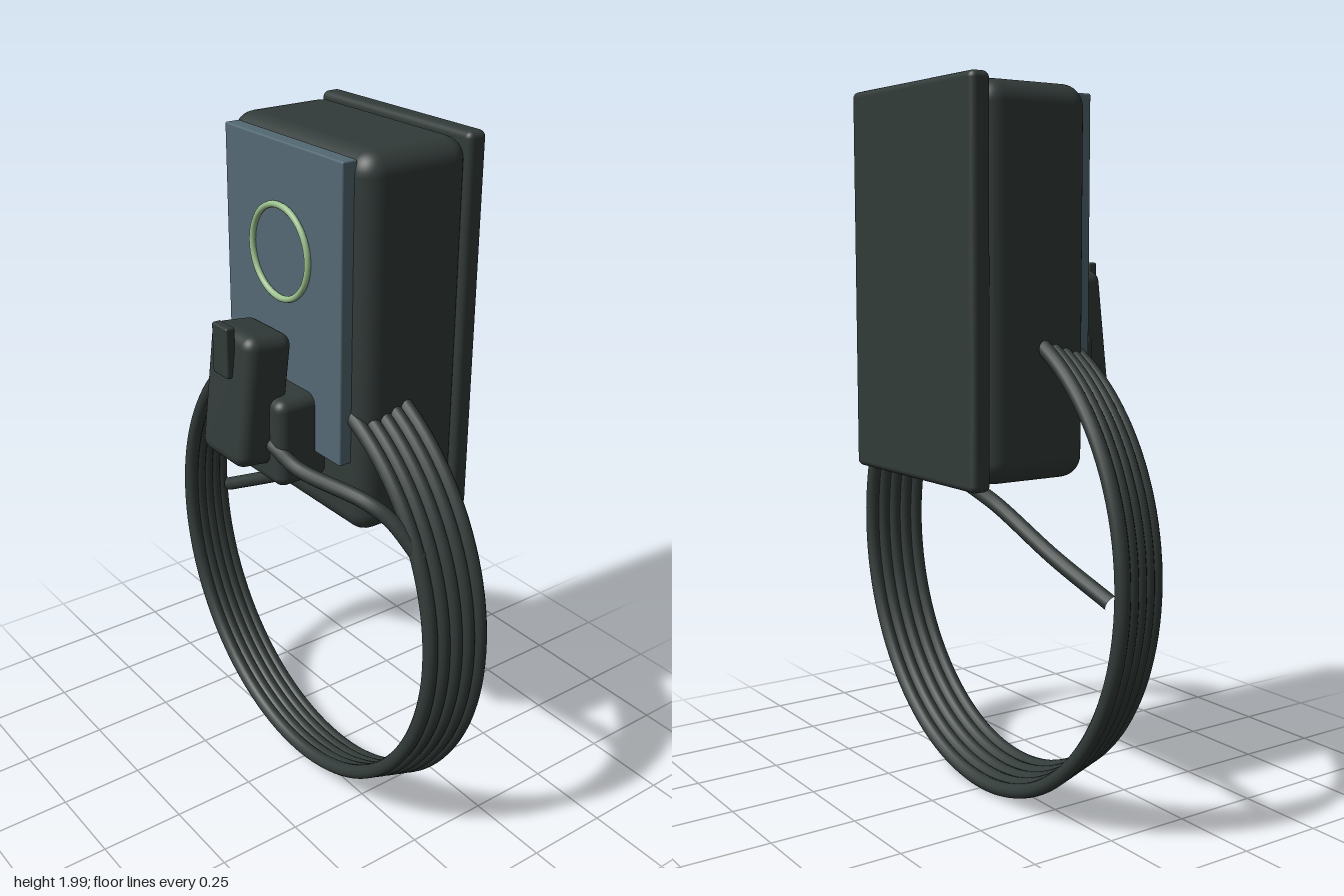
import * as THREE from 'three';
import { RoundedBoxGeometry } from 'three/addons/geometries/RoundedBoxGeometry.js';

const material = (name, color) => {
  const m = new THREE.MeshStandardMaterial({ color });
  m.name = name;
  return m;
};

export function createModel() {
  const group = new THREE.Group();
  const dark = material('charcoal', 0x323b39);
  const slate = material('slate blue', 0x546974);
  const green = material('pale green', 0x9cc08e);

  const add = (name, geometry, mat, x = 0, y = 0, z = 0) => {
    const mesh = new THREE.Mesh(geometry, mat);
    mesh.name = name;
    mesh.position.set(x, y, z);
    group.add(mesh);
    return mesh;
  };
  const box = (name, [w, h, d], r, mat, x, y, z) =>
    add(name, new RoundedBoxGeometry(w, h, d, 4, r), mat, x, y, z);

  // Wall plate, housing and front panel
  box('wallPlate', [0.616, 1.056, 0.06], 0.018, dark, 0, 1.472, -0.28);
  box('housing', [0.61, 1.036, 0.335], 0.06, dark, 0, 1.472, -0.1);
  box('frontPanel', [0.51, 0.806, 0.045], 0.005, slate, 0, 1.568, 0.08);

  // Light ring
  add('lightRing', new THREE.TorusGeometry(0.124, 0.009, 10, 64), green, 0, 1.685, 0.11);

  // Holster, tilted plug handle and its button
  box('holster', [0.29, 0.25, 0.165], 0.03, dark, 0, 1.206, 0.133);
  const handle = box('plugHandle', [0.196, 0.365, 0.145], 0.035, dark, 0, 1.32, 0.222);
  handle.rotation.x = -0.12;
  box('handleButton', [0.07, 0.14, 0.028], 0.006, dark, 0, 1.457, 0.288);

  // Coiled cable: loops shrink towards the front
  const cableRadius = 0.021;
  for (let i = 0; i < 5; i++) {
    const rx = 0.631 - i * 0.0095, ry = 0.68 - i * 0.0095;
    const points = [];
    for (let k = 0; k < 48; k++) {
      const a = (k / 48) * Math.PI * 2;
      points.push(new THREE.Vector3(rx * Math.cos(a), ry * Math.sin(a), 0));
    }
    const loop = new THREE.CatmullRomCurve3(points, true);
    add('cableLoop' + (i + 1), new THREE.TubeGeometry(loop, 120, cableRadius, 12, true),
      dark, 0, 0.71, -0.08 + i * 0.034);
  }

  // Cable runs from the handle and from the underside of the housing
  const cable = (name, points) => {
    const curve = new THREE.CatmullRomCurve3(points.map(p => new THREE.Vector3(...p)));
    add(name, new THREE.TubeGeometry(curve, 48, cableRadius, 12, false), dark);
  };
  cable('plugCable', [
    [0.03, 1.2, 0.21], [0.1, 1.195, 0.205], [0.18, 1.155, 0.185],
    [0.4, 1.13, 0.125], [0.46, 1.09, 0.09], [0.53, 1.0, 0.05],
  ]);
  cable('supplyCable', [
    [0.06, 1.0, -0.17], [0, 0.955, -0.172], [-0.22, 0.885, -0.168],
    [-0.42, 0.78, -0.135], [-0.6, 0.69, -0.092],
  ]);

  return group;
}
